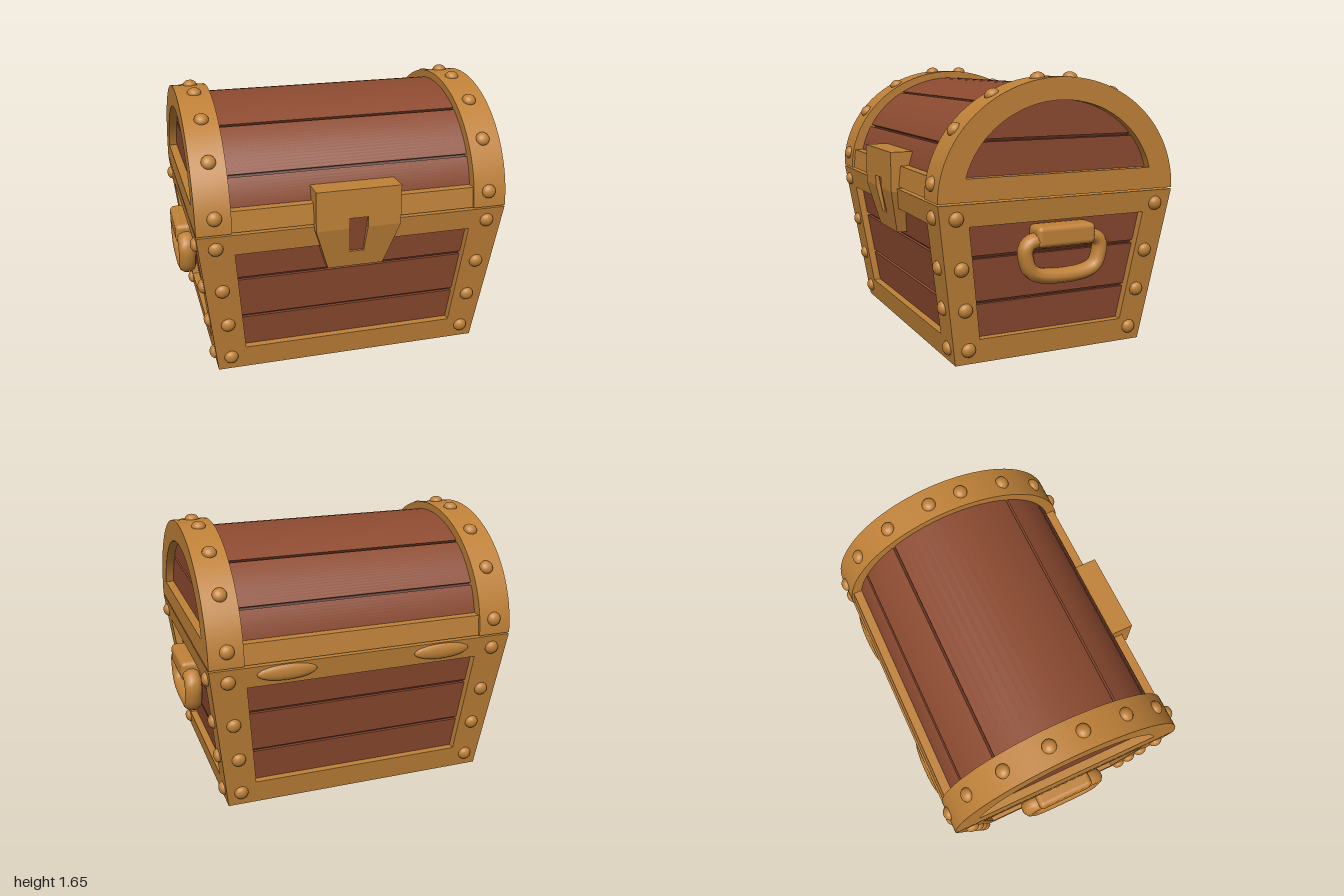
import * as THREE from 'three';
import { toCreasedNormals } from 'three/addons/utils/BufferGeometryUtils.js';
import { RoundedBoxGeometry } from 'three/addons/geometries/RoundedBoxGeometry.js';

const mat = (name, color) => new THREE.MeshStandardMaterial({ name, color });

export function createModel() {
  const chest = new THREE.Group();
  chest.name = 'treasureChest';
  const gold = mat('gold', 0xbf8138);
  const wood = mat('wood', 0x8c4a30);
  const dark = mat('darkWood', 0x54291b);

  const add = (name, geo, material, parent = chest) => {
    const mesh = new THREE.Mesh(geo, material);
    mesh.name = name;
    parent.add(mesh);
    return mesh;
  };

  // Body half sizes at a height, and the inner edges of the corner posts
  const hx = y => 0.83 + 0.116 * y;
  const hz = y => 0.61 + 0.147 * y;
  const px = y => 0.647 + 0.09 * y;
  const pz = y => 0.445 + 0.142 * y;

  // Block whose x and z limits are given by a rule of height
  const block = (name, material, y0, y1, rule) => {
    const geo = new THREE.BoxGeometry(1, 1, 1);
    const p = geo.attributes.position;
    for (let i = 0; i < p.count; i++) {
      const y = p.getY(i) < 0 ? y0 : y1;
      const [xa, xb, za, zb] = rule(y);
      const x = p.getX(i) < 0 ? Math.min(xa, xb) : Math.max(xa, xb);
      const z = p.getZ(i) < 0 ? Math.min(za, zb) : Math.max(za, zb);
      p.setXYZ(i, x, y, z);
    }
    geo.computeVertexNormals();
    return add(name, geo, material);
  };

  // Body core and floor
  block('bodyCore', dark, 0.04, 0.96, y => [-hx(y) + 0.065, hx(y) - 0.065, -hz(y) + 0.065, hz(y) - 0.065]);
  block('floor', wood, 0.02, 0.05, y => [-hx(y) + 0.06, hx(y) - 0.06, -hz(y) + 0.06, hz(y) - 0.06]);

  // Planks and frame beams on all four sides
  const rows = [[0.1, 0.345], [0.362, 0.615], [0.634, 0.85]];
  for (const s of [-1, 1]) {
    for (const [a, b] of rows) {
      block('bodyPlank', wood, a, b, y => [-px(y) - 0.02, px(y) + 0.02, s * (hz(y) - 0.09), s * (hz(y) - 0.045)]);
      block('sidePlank', wood, a, b, y => [s * (hx(y) - 0.09), s * (hx(y) - 0.045), -pz(y) - 0.02, pz(y) + 0.02]);
    }
    for (const [a, b] of [[0, 0.145], [0.815, 0.945]]) {
      block('longBeam', gold, a, b, y => [-hx(y), hx(y), s * (hz(y) - 0.1), s * hz(y)]);
      block('sideBeam', gold, a, b, y => [s * (hx(y) - 0.1), s * hx(y), -hz(y) + 0.1, hz(y) - 0.1]);
    }
    for (const t of [-1, 1])
      block('cornerPost', gold, 0.145, 0.815, y => [s * px(y), s * hx(y), t * pz(y), t * hz(y)]);
  }

  // Lid outlines are parts of an ellipse about y = 0.955
  const LID = 0.955;
  const arc = (a, b, t0, t1, n = 32) => Array.from({ length: n + 1 }, (_, i) => {
    const t = t0 + (t1 - t0) * i / n;
    return new THREE.Vector2(a * Math.cos(t), LID + b * Math.sin(t));
  });
  // Extrude a side outline along x, from x0 to x1
  const alongX = (shape, x0, x1) => {
    const geo = new THREE.ExtrudeGeometry(shape, { depth: x1 - x0, bevelEnabled: false });
    geo.rotateY(Math.PI / 2).translate(x0, 0, 0);
    return toCreasedNormals(geo, 0.5);
  };
  const angleAt = (b, y) => Math.asin(Math.min(1, (y - LID) / b));

  add('lidCore', alongX(new THREE.Shape(arc(0.655, 0.598, 0, Math.PI)), -0.865, 0.865), dark);

  // Curved lid planks
  const seams = [0, 28, 55, 123, 152, 180].map(d => THREE.MathUtils.degToRad(d));
  for (let i = 0; i < seams.length - 1; i++) {
    const t0 = seams[i] + 0.012, t1 = seams[i + 1] - 0.012;
    const pts = [...arc(0.685, 0.62, t0, t1, 16), ...arc(0.63, 0.57, t1, t0, 16)];
    add('lidPlank', alongX(new THREE.Shape(pts), -0.75, 0.75), wood);
  }

  // Arched end rims with their inset planks
  const holeStart = angleAt(0.537, 1.083);
  const rim = new THREE.Shape(arc(0.75, 0.665, 0, Math.PI, 48));
  rim.holes.push(new THREE.Path(arc(0.605, 0.537, holeStart, Math.PI - holeStart)));
  for (const s of [-1, 1]) {
    add('lidRim', alongX(rim, s > 0 ? 0.735 : -0.94, s > 0 ? 0.94 : -0.735), gold);
    for (const [a, b] of [[1.05, 1.272], [1.288, LID + 0.56]]) {
      const t0 = angleAt(0.56, a), t1 = angleAt(0.56, b);
      const pts = [...arc(0.63, 0.56, t0, t1, 12), ...arc(0.63, 0.56, Math.PI - t1, Math.PI - t0, 12)];
      add('lidEndPlank', alongX(new THREE.Shape(pts), s > 0 ? 0.855 : -0.89, s > 0 ? 0.89 : -0.855), wood);
    }
    block('lidBand', gold, LID, 1.08, y => [-0.74, 0.74, s * 0.6, s * (0.737 - 0.1 * (y - LID))]);
  }

  // Rivets: flattened domes turned to a surface normal
  const dome = new THREE.SphereGeometry(0.043, 16, 10).scale(1, 0.75, 1);
  const up = new THREE.Vector3(0, 1, 0);
  const rivet = (x, y, z, nx, ny, nz) => {
    const m = add('rivet', dome, gold);
    m.position.set(x, y, z);
    m.quaternion.setFromUnitVectors(up, new THREE.Vector3(nx, ny, nz).normalize());
  };
  for (const s of [-1, 1]) for (const t of [-1, 1]) {
    for (const [y, x, z] of [[0.865, 0.83, 0.64], [0.575, 0.798, 0.597], [0.33, 0.768, 0.563], [0.087, 0.752, 0.533]]) {
      rivet(s * x, y, t * hz(y), 0, -0.147, t);
      rivet(s * hx(y), y, t * z, s, -0.116, 0);
    }
    for (const z of [0.105, 0.385, 0.61, 0.742]) {
      const c = z / 0.75, h = Math.sqrt(1 - c * c);
      rivet(s * 0.83, LID + 0.665 * h, t * z, 0, h / 0.665, t * c / 0.75);
    }
  }

  // Lock plate: upright upper half and a sloping, tapering lower half
  const lock = new THREE.Group();
  lock.name = 'lock';
  chest.add(lock);
  const plate = pts => new THREE.ExtrudeGeometry(
    new THREE.Shape(pts.map(p => new THREE.Vector2(...p))), { depth: 0.145, bevelEnabled: false }).translate(0, 0, 0.64);
  add('lockUpper', plate([[-0.257, 0.925], [-0.057, 0.925], [-0.057, 0.988], [0.057, 0.988],
    [0.057, 0.925], [0.257, 0.925], [0.257, 1.165], [-0.257, 1.165]]), gold, lock);
  const lower = plate([[-0.17, 0.658], [0.17, 0.658], [0.257, 0.925], [0.055, 0.925],
    [0.043, 0.762], [-0.043, 0.762], [-0.055, 0.925], [-0.257, 0.925]]);
  const lp = lower.attributes.position;
  for (let i = 0; i < lp.count; i++) lp.setZ(i, lp.getZ(i) - 0.23 * (0.925 - lp.getY(i)));
  lower.computeVertexNormals();
  add('lockLower', lower, gold, lock);
  const keyhole = add('keyhole', new THREE.BoxGeometry(0.14, 0.27, 0.08), wood, lock);
  keyhole.position.set(0, 0.87, 0.707);
  keyhole.rotation.x = 0.15;

  // Shallow swellings on the back beam
  for (const s of [-1, 1]) {
    const swell = add('backSwelling', new THREE.SphereGeometry(1, 20, 12), gold);
    swell.scale.set(0.18, 0.05, 0.025);
    swell.position.set(s * 0.485, 0.89, -0.742);
  }

  // Side handles: bracket and hanging loop
  const half = [[0.12, 0.705], [0.2, 0.705], [0.238, 0.67], [0.235, 0.6], [0.205, 0.535], [0.13, 0.502]];
  const path = [...half, ...half.slice().reverse().map(([z, y]) => [-z, y])];
  for (const s of [-1, 1]) {
    const handle = new THREE.Group();
    handle.name = 'sideHandle';
    handle.position.set(s * 0.94, 0, -0.012);
    chest.add(handle);
    const curve = new THREE.CatmullRomCurve3(path.map(([z, y]) => new THREE.Vector3(0, y, z)));
    const loop = new THREE.TubeGeometry(curve, 48, 0.045, 10).scale(1.2, 1, 1);
    add('handleLoop', loop, gold, handle);
    const bracket = add('handleBracket', new RoundedBoxGeometry(0.14, 0.125, 0.37, 3, 0.03), gold, handle);
    bracket.position.set(s * -0.01, 0.732, 0);
  }

  chest.position.z = -0.01;
  const model = new THREE.Group();
  model.name = 'model';
  model.add(chest);
  return model;
}
